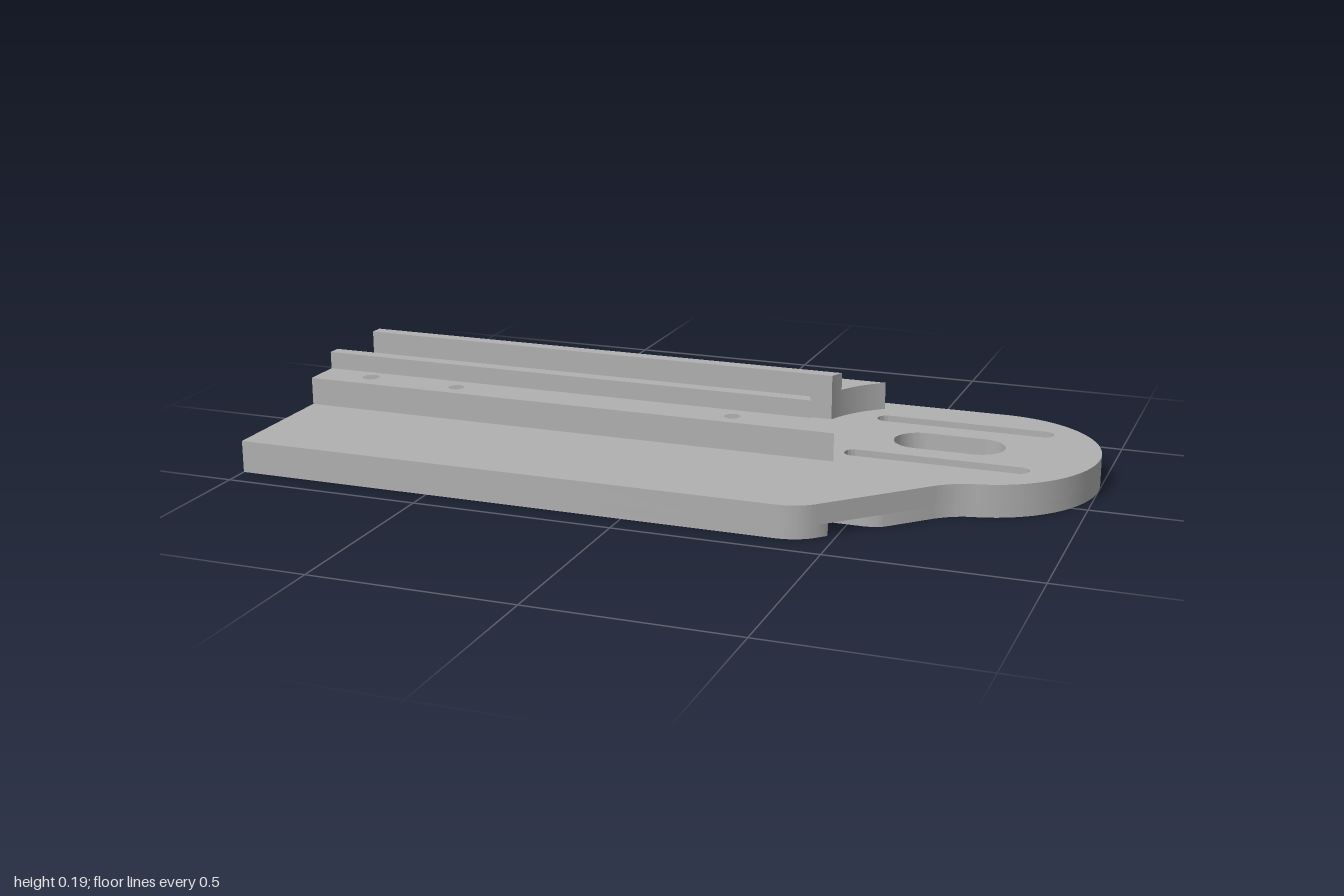
import * as THREE from 'three';
import { toCreasedNormals } from 'three/addons/utils/BufferGeometryUtils.js';

const BASE_TOP = 0.08, GROOVE_TOP = 0.03, AXIS = -0.145;

// Plan shapes are drawn as (x, -z) and extruded upward
function slab(name, shape, y0, y1, material) {
  const geo = new THREE.ExtrudeGeometry(shape, { depth: y1 - y0, bevelEnabled: false, curveSegments: 24 });
  geo.rotateX(-Math.PI / 2);
  geo.translate(0, y0, 0);
  const mesh = new THREE.Mesh(toCreasedNormals(geo, 0.5), material);
  mesh.name = name;
  return mesh;
}

function addHole(shape, x, z, r) {
  shape.holes.push(new THREE.Path().absarc(x, -z, r, 0, Math.PI * 2, true));
}

function addSlot(shape, x0, x1, z, r) {
  const p = new THREE.Path();
  p.absarc(x0 + r, -z, r, Math.PI * 1.5, Math.PI / 2, true);
  p.absarc(x1 - r, -z, r, Math.PI / 2, -Math.PI / 2, true);
  p.closePath();
  shape.holes.push(p);
}

// Sloped shoulder, rounded nose and straight back edge
function finishOutline(s) {
  s.lineTo(0.67, -0.19);
  s.quadraticCurveTo(0.71, -0.15, 0.76, -0.14);
  s.absarc(0.71, 0.145, 0.29, -1.397, Math.PI / 2, false);
  s.lineTo(-1, 0.435);
  s.closePath();
}

// Front edge with its rounded corner
function startFrontEdge(s) {
  s.moveTo(-1, -0.435);
  s.lineTo(0.37, -0.435);
  s.quadraticCurveTo(0.425, -0.435, 0.46, -0.40);
}

// [x, z, radius, radius on the underside]
const HOLES = [
  [-0.86, 0.03, 0.022, 0.022], [-0.86, -0.325, 0.022, 0.022],
  [-0.61, 0.04, 0.02, 0.038], [-0.61, -0.332, 0.02, 0.038],
  [0.135, 0.04, 0.02, 0.038], [0.135, -0.332, 0.02, 0.038],
  [0.135, -0.09, 0.014, 0.014], [0.135, -0.204, 0.014, 0.014],
];

function cutPlate(shape, underside) {
  for (const [x, z, r, rUnder] of HOLES) addHole(shape, x, z, underside ? rUnder : r);
  addSlot(shape, 0.41, 0.86, -0.30, 0.025);
  addSlot(shape, 0.41, 0.86, 0.005, 0.025);
  addSlot(shape, 0.495, 0.77, AXIS, 0.065);
}

// Strip between two z offsets from the axis, ending in a concave arc
function railStrip(side, inner, outer) {
  const endX = d => 0.577 - Math.sqrt(0.29 * 0.29 - d * d);
  const pts = [new THREE.Vector2(-1, -(AXIS + side * inner))];
  for (let i = 0; i <= 12; i++) {
    const d = inner + (outer - inner) * i / 12;
    pts.push(new THREE.Vector2(endX(d), -(AXIS + side * d)));
  }
  pts.push(new THREE.Vector2(-1, -(AXIS + side * outer)));
  return new THREE.Shape(pts);
}

export function createModel() {
  const model = new THREE.Group();
  model.name = 'slottedRailPlate';
  const grey = new THREE.MeshStandardMaterial({ color: 0xb0b0b0 });
  grey.name = 'plain grey';

  // Upper layer of the base plate
  const upper = new THREE.Shape();
  startFrontEdge(upper);
  finishOutline(upper);
  cutPlate(upper, false);
  model.add(slab('basePlateUpper', upper, GROOVE_TOP, BASE_TOP, grey));

  // Lower layer behind the groove, with counterbores
  const lower = new THREE.Shape();
  lower.moveTo(-1, -0.29);
  lower.lineTo(0.53, -0.29);
  lower.quadraticCurveTo(0.565, -0.29, 0.585, -0.275);
  finishOutline(lower);
  cutPlate(lower, true);
  model.add(slab('basePlateLower', lower, 0, GROOVE_TOP, grey));

  // Narrow lip in front of the groove
  const lip = new THREE.Shape();
  startFrontEdge(lip);
  lip.lineTo(0.475, -0.385);
  lip.quadraticCurveTo(0.49, -0.365, 0.45, -0.365);
  lip.lineTo(-1, -0.365);
  lip.closePath();
  model.add(slab('grooveLip', lip, 0, GROOVE_TOP, grey));

  // Mirrored rails: a drilled ledge and a taller inner wall
  for (const side of [1, -1]) {
    const rail = new THREE.Group();
    rail.name = side > 0 ? 'frontRail' : 'backRail';
    const ledge = railStrip(side, 0.133, 0.235);
    for (const [x, z, r] of HOLES) {
      if (Math.abs(z - AXIS) > 0.15 && Math.sign(z - AXIS) === side) addHole(ledge, x, z, r);
    }
    rail.add(slab('railLedge', ledge, BASE_TOP, 0.15, grey));
    rail.add(slab('railWall', railStrip(side, 0.098, 0.133), BASE_TOP, 0.194, grey));
    model.add(rail);
  }
  return model;
}
